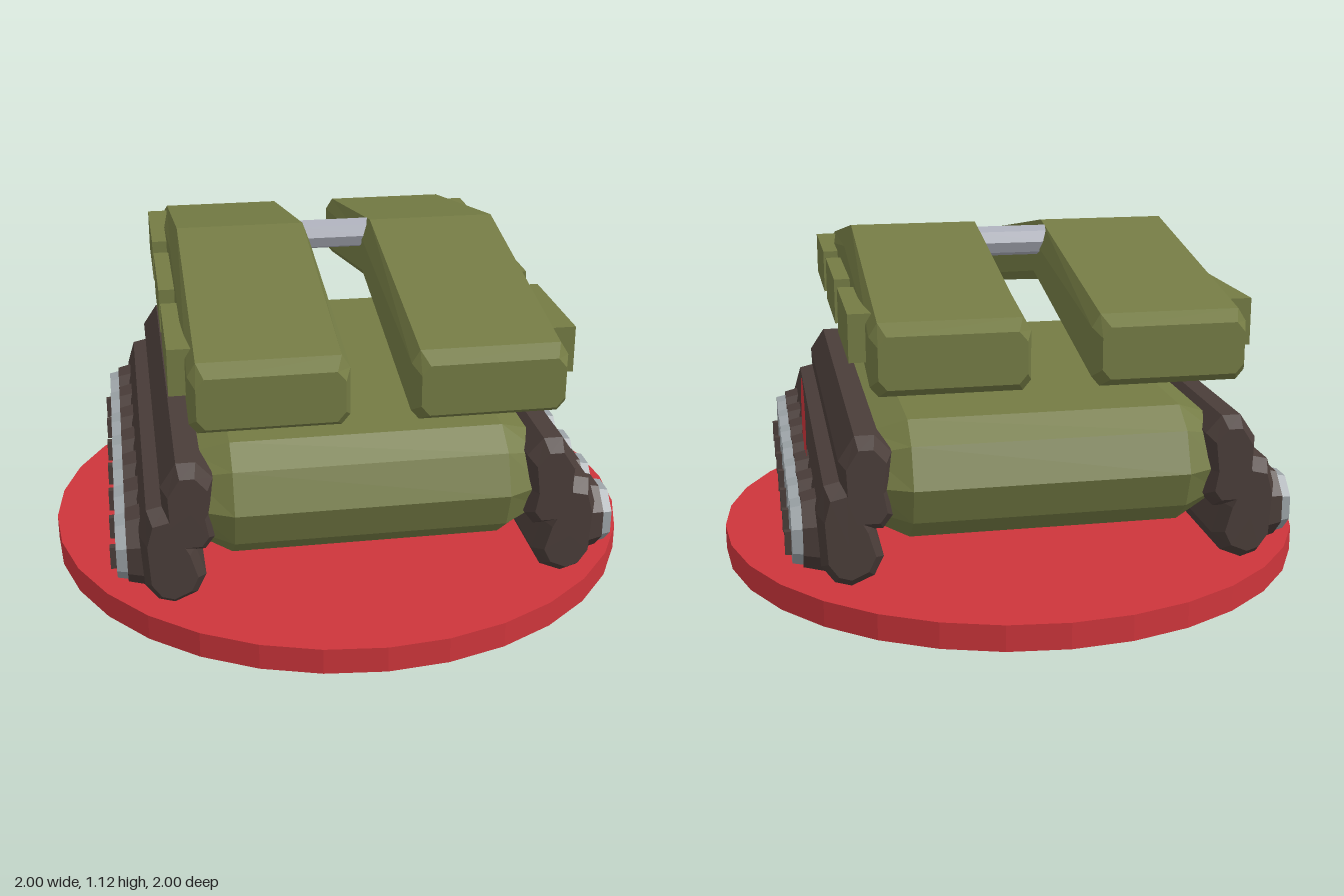
import * as THREE from 'three';

const mat = (name, color) => {
  const m = new THREE.MeshStandardMaterial({ color, flatShading: true });
  m.name = name;
  return m;
};

// Skin a closed solid through rings of [x, y] points placed at increasing z.
function loft(rings) {
  const pos = [];
  const tri = (...p) => p.forEach((v) => pos.push(...v));
  const solid = rings.map(({ z, pts }) => {
    const shape = pts.map(([x, y]) => new THREE.Vector2(x, y));
    const ordered = THREE.ShapeUtils.area(shape) < 0 ? [...pts].reverse() : pts;
    return ordered.map(([x, y]) => [x, y, z]);
  });
  const n = solid[0].length;
  for (let i = 0; i < solid.length - 1; i++) {
    for (let j = 0; j < n; j++) {
      const k = (j + 1) % n;
      const [a, b, c, d] = [solid[i][j], solid[i][k], solid[i + 1][k], solid[i + 1][j]];
      tri(a, b, c);
      tri(a, c, d);
    }
  }
  const first = solid[0], last = solid[solid.length - 1];
  const centre = (r) => [0, 1, 2].map((i) => r.reduce((s, p) => s + p[i], 0) / n);
  for (let j = 0; j < n; j++) {
    const k = (j + 1) % n;
    tri(centre(first), first[k], first[j]);
    tri(centre(last), last[j], last[k]);
  }
  const g = new THREE.BufferGeometry();
  g.setAttribute('position', new THREE.Float32BufferAttribute(pos, 3));
  g.computeVertexNormals();
  return g;
}

// Shrink a ring about a point.
const shrink = (pts, cx, cy, sx, sy) => pts.map(([x, y]) => [cx + (x - cx) * sx, cy + (y - cy) * sy]);

// Rectangle with bevelled corners, given by its limits.
function bevelled(x0, x1, y0, y1, cx, top, bottom) {
  return [
    [x0 + cx, y0], [x1 - cx, y0], [x1, y0 + bottom], [x1, y1 - top],
    [x1 - cx, y1], [x0 + cx, y1], [x0, y1 - top], [x0, y0 + bottom],
  ];
}

export function createModel() {
  const model = new THREE.Group();
  model.name = 'hoverTank';
  const olive = mat('olive armour', 0x747b44);
  const brown = mat('dark brown track', 0x4a3d39);
  const grey = mat('wheel grey', 0x9aa1a5);
  const silver = mat('rod silver', 0xabaeb9);
  const red = mat('red', 0xcd353b);
  const redDisc = mat('red marker', 0xcd353b);
  redDisc.side = THREE.DoubleSide;

  const add = (name, geometry, material, x = 0, y = 0, z = 0) => {
    const m = new THREE.Mesh(geometry, material);
    m.name = name;
    m.position.set(x, y, z);
    model.add(m);
    return m;
  };

  // Round base
  add('base', new THREE.CylinderGeometry(1, 1, 0.085, 32), red, 0, 0.0425, 0);

  // Hull: rounded profile running across the width
  const hull = [
    [0.62, 0.62], [0.71, 0.56], [0.76, 0.435], [0.72, 0.32], [0.62, 0.24],
    [-0.62, 0.24], [-0.72, 0.32], [-0.76, 0.435], [-0.71, 0.56], [-0.62, 0.62],
  ];
  const hullEnd = shrink(hull, 0, 0.43, 0.92, 0.75);
  const hullGeometry = loft([
    { z: -0.55, pts: hullEnd }, { z: -0.43, pts: hull },
    { z: 0.43, pts: hull }, { z: 0.55, pts: hullEnd },
  ]).rotateY(Math.PI / 2);
  add('hull', hullGeometry, olive);

  // Track cross-sections
  const upper = [
    [0.54, 0.605], [0.6, 0.605], [0.65, 0.53], [0.645, 0.4], [0.61, 0.31],
    [0.52, 0.31], [0.49, 0.35], [0.505, 0.43], [0.49, 0.55],
  ];
  const lower = [
    [0.63, 0.47], [0.695, 0.455], [0.72, 0.37], [0.71, 0.2], [0.67, 0.145],
    [0.62, 0.13], [0.55, 0.16], [0.52, 0.22], [0.55, 0.32],
  ];
  const track = (pts, cx, cy, s) => {
    const full = pts.map(([x, y]) => [x * s, y]);
    const end = shrink(full, cx * s, cy, 0.75, 0.78);
    return loft([
      { z: -0.76, pts: end }, { z: -0.71, pts: full },
      { z: 0.71, pts: full }, { z: 0.76, pts: end },
    ]);
  };

  // Shared wheel shapes, with axles along x
  const housing = new THREE.CylinderGeometry(0.115, 0.135, 0.08, 8).rotateZ(-Math.PI / 2).rotateX(Math.PI / 8);
  const wheel = new THREE.CylinderGeometry(0.098, 0.108, 0.05, 8).rotateZ(-Math.PI / 2).rotateX(Math.PI / 8);
  const hub = new THREE.BoxGeometry(0.03, 0.075, 0.024);
  const pod = new THREE.BoxGeometry(0.07, 0.145, 0.4);

  for (const s of [1, -1]) {
    const side = s > 0 ? 'left' : 'right';
    add(side + 'UpperTrack', track(upper, 0.57, 0.46, s), brown);
    add(side + 'LowerTrack', track(lower, 0.63, 0.3, s), brown);

    // Row of seven road wheels
    for (let i = -3; i <= 3; i++) {
      const z = i * 0.196;
      const turn = s > 0 ? 0 : Math.PI;
      add(side + 'WheelHousing', housing, brown, s * 0.72, 0.275, z).rotation.y = turn;
      add(side + 'Wheel', wheel, grey, s * 0.768, 0.272, z).rotation.y = turn;
      add(side + 'WheelHub', hub, brown, s * 0.798, 0.237, z);
    }

    // Peaked roof slab, sloping down to front and back
    const ring = (y0, y1, top, inset) =>
      bevelled(0.09 + inset, 0.56 - inset, y0, y1, 0.025, top, 0.03).map(([x, y]) => [x * s, y]);
    const tip = ring(0.785, 0.94, 0.03, 0.02);
    const shoulder = ring(0.753, 0.97, 0.04, 0);
    add(side + 'RoofSlab', loft([
      { z: -0.88, pts: tip }, { z: -0.825, pts: shoulder },
      { z: 0, pts: ring(0.915, 1.122, 0.07, 0) },
      { z: 0.825, pts: shoulder }, { z: 0.88, pts: tip },
    ]), olive);

    // Three side plates on the slab
    for (const z of [-0.53, 0, 0.53]) add(side + 'SidePlate', pod, olive, s * 0.576, 0.905, z);
  }

  // Rod joining the slabs
  add('joiningRod', new THREE.CylinderGeometry(0.05, 0.05, 0.23, 8).rotateZ(Math.PI / 2), silver, 0, 1.063, -0.058);

  // Round marker on one flank
  add('flankMarker', new THREE.CircleGeometry(0.147, 28).rotateY(Math.PI / 2), redDisc, 0.722, 0.48, -0.11);

  return model;
}
